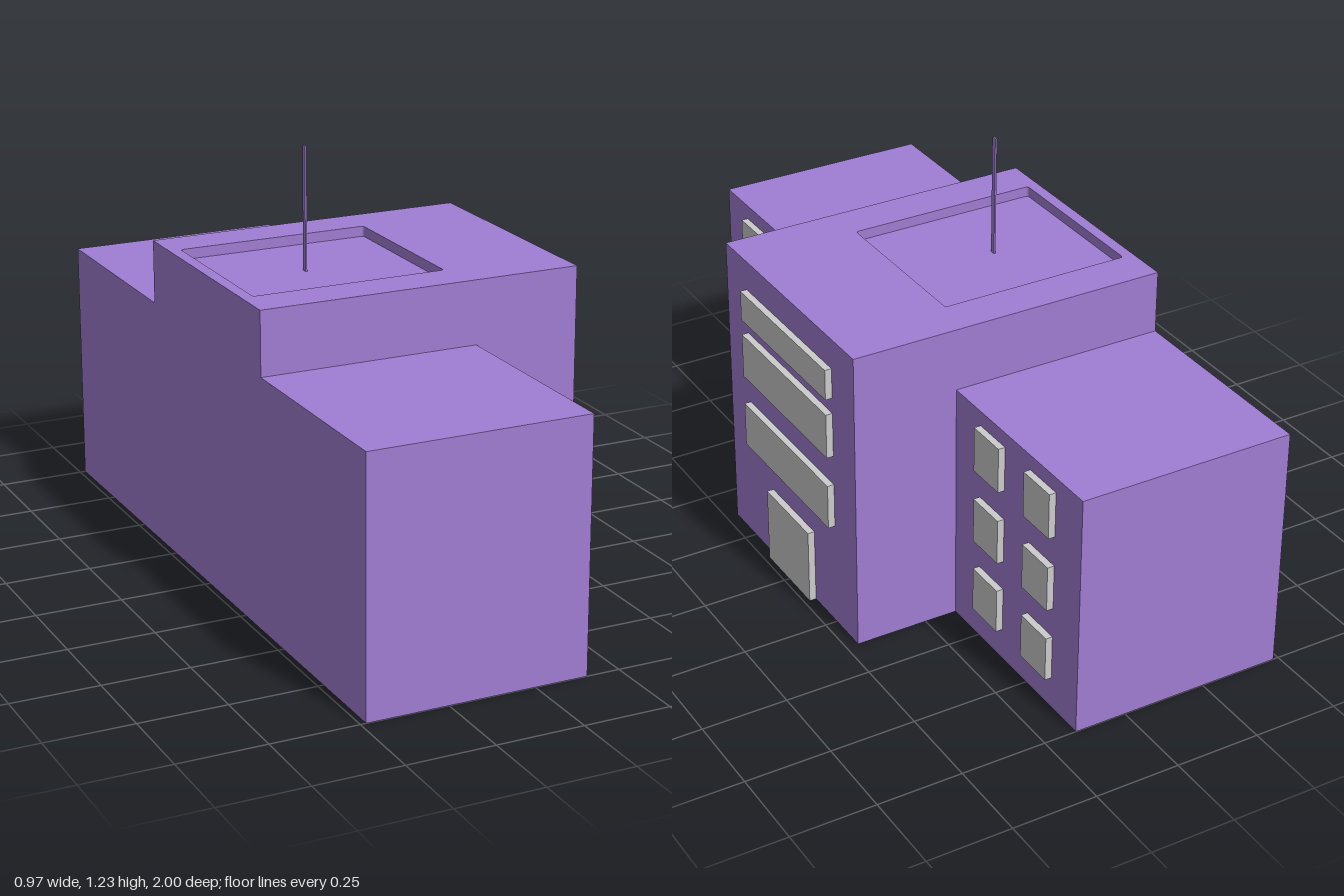
import * as THREE from 'three';

const wallMat = new THREE.MeshStandardMaterial({ color: 0xa07dd3 });
const greyMat = new THREE.MeshStandardMaterial({ color: 0xcccccc });

const BACK = -0.484, WING_X = 0.154, HALL_X = 0.464; // back wall and the two facades
const HALL_Z = 0.373, WING_H = 0.722, ROOF = 0.906, DECK = 0.876;

// Box given by its min and max on each axis
function block(name, [x0, x1], [y0, y1], [z0, z1], mat = wallMat) {
  const mesh = new THREE.Mesh(new THREE.BoxGeometry(x1 - x0, y1 - y0, z1 - z0), mat);
  mesh.position.set((x0 + x1) / 2, (y0 + y1) / 2, (z0 + z1) / 2);
  mesh.name = name;
  return mesh;
}

// Closed rectangle with slightly rounded corners
function roundedRect(path, x0, x1, y0, y1, r) {
  path.absarc(x1 - r, y1 - r, r, 0, Math.PI / 2);
  path.absarc(x0 + r, y1 - r, r, Math.PI / 2, Math.PI);
  path.absarc(x0 + r, y0 + r, r, Math.PI, Math.PI * 1.5);
  path.absarc(x1 - r, y0 + r, r, Math.PI * 1.5, Math.PI * 2);
  path.closePath();
  return path;
}

// Roof slab with the sunken deck cut out
function roofRim() {
  const shape = new THREE.Shape([
    new THREE.Vector2(BACK, -HALL_Z), new THREE.Vector2(HALL_X, -HALL_Z),
    new THREE.Vector2(HALL_X, HALL_Z), new THREE.Vector2(BACK, HALL_Z),
  ]);
  shape.holes.push(roundedRect(new THREE.Path(), -0.45, 0.117, -0.25, 0.25, 0.008));
  const geo = new THREE.ExtrudeGeometry(shape, { depth: ROOF - DECK, bevelEnabled: false, curveSegments: 4 });
  geo.rotateX(-Math.PI / 2);
  const mesh = new THREE.Mesh(geo, wallMat);
  mesh.position.y = DECK;
  mesh.name = 'roofRim';
  return mesh;
}

export function createModel() {
  const building = new THREE.Group();
  building.name = 'building';

  // Central hall, roof and mast
  building.add(block('centralHall', [BACK, HALL_X], [0, DECK], [-HALL_Z, HALL_Z]));
  building.add(roofRim());
  building.add(block('mast', [-0.1855, -0.1805], [DECK, 1.231], [-0.008, 0.008]));

  // Door and long windows of the hall
  const hallFace = [HALL_X, HALL_X + 0.02];
  building.add(block('door', hallFace, [0, 0.227], [-0.125, 0.125], greyMat));
  const floors = [[0.095, 0.228], [0.318, 0.453], [0.543, 0.678]];
  for (const y of [floors[1], floors[2], [0.725, 0.816]]) {
    building.add(block('longWindow', hallFace, y, [-0.25, 0.25], greyMat));
  }

  // Two mirrored wings with a grid of windows
  for (const side of [1, -1]) {
    const span = (a, b) => (side > 0 ? [a, b] : [-b, -a]);
    const wing = new THREE.Group();
    wing.name = side > 0 ? 'frontWing' : 'backWing';
    wing.add(block('wingBody', [BACK, WING_X], [0, WING_H], span(HALL_Z, 1)));
    for (const y of floors) {
      for (const z of [0.5, 0.75]) {
        wing.add(block('window', [WING_X, WING_X + 0.02], y, span(z, z + 0.125), greyMat));
      }
    }
    building.add(wing);
  }
  return building;
}
